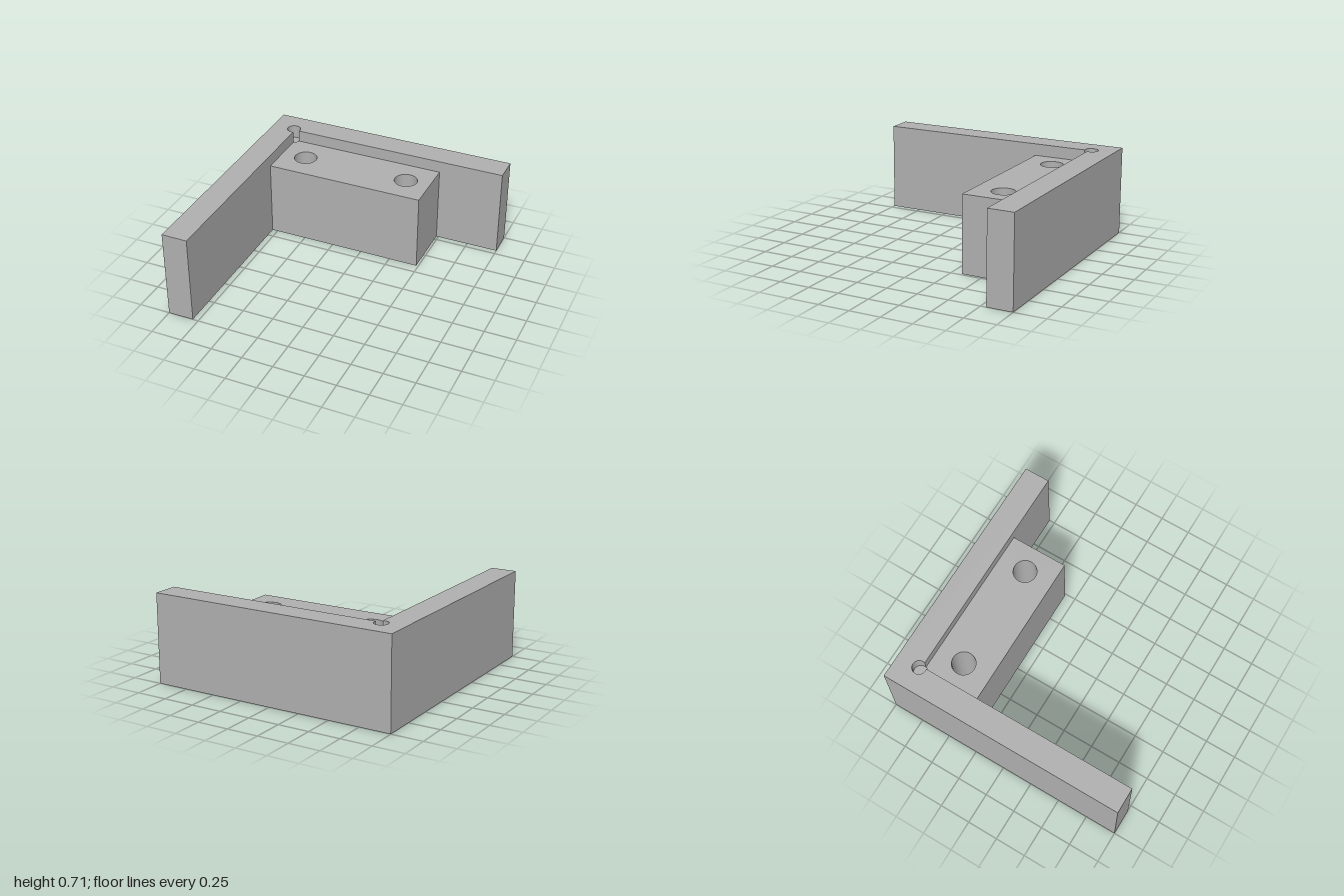
import * as THREE from 'three';
import { toCreasedNormals } from 'three/addons/utils/BufferGeometryUtils.js';

const WALL = 0.795;                    // inner face of both walls
const FLOOR = 0.6, BLOCK_TOP = 0.615, WALL_TOP = 0.71;
const BLOCK_X = 0.483, BLOCK_Z = 0.335;
const HOLES = [[-0.591, 0.57], [0.283, 0.57]];
const HOLE_R = 0.092, SINK_R = 0.138, SINK_DEPTH = 0.046;
const RELIEF = 0.812, RELIEF_R = 0.054; // corner relief bore

// Plans are drawn in x and -z, then stood up along y.
function raise(shape, y0, y1, steps = 1) {
  const g = new THREE.ExtrudeGeometry(shape, { depth: y1 - y0, steps, bevelEnabled: false, curveSegments: 32 });
  return g.rotateX(-Math.PI / 2).translate(0, y0, 0);
}

function plan(points) {
  return new THREE.Shape(points.map(([x, y]) => new THREE.Vector2(x, y)));
}

function addScrewHoles(shape) {
  for (const [x, y] of HOLES) {
    shape.holes.push(new THREE.Path().absarc(x, y, HOLE_R, 0, Math.PI * 2, true));
  }
  return shape;
}

// Widens the lower rim of each screw hole into a countersink.
function countersink(g) {
  const p = g.attributes.position;
  for (let i = 0; i < p.count; i++) {
    const x = p.getX(i), y = p.getY(i), z = p.getZ(i);
    if (Math.abs(y - FLOOR / 2) < 0.01) p.setY(i, SINK_DEPTH);
    if (y > 0.01) continue;
    for (const [hx, hy] of HOLES) {
      const dx = x - hx, dz = z + hy;
      if (Math.hypot(dx, dz) < HOLE_R + 0.005) {
        p.setX(i, hx + dx * SINK_R / HOLE_R);
        p.setZ(i, -hy + dz * SINK_R / HOLE_R);
      }
    }
  }
  return g;
}

export function createModel() {
  const group = new THREE.Group();
  group.name = 'cornerBracket';
  const grey = new THREE.MeshStandardMaterial({ color: 0xb0b0b0 });
  grey.name = 'grey';
  const add = (name, g) => {
    const mesh = new THREE.Mesh(toCreasedNormals(g, 0.5), grey);
    mesh.name = name;
    group.add(mesh);
  };

  // Where the relief bore meets the inner wall faces
  const off = RELIEF - WALL;
  const reach = Math.sqrt(RELIEF_R ** 2 - off ** 2);
  const cut = RELIEF - reach;
  const a1 = Math.atan2(-reach, off), a2 = Math.atan2(-off, reach);

  // Lower body: both walls and the screw block in one outline
  const body = addScrewHoles(plan([
    [-1, -1], [-WALL, -1], [-WALL, BLOCK_Z], [BLOCK_X, BLOCK_Z],
    [BLOCK_X, WALL], [1, WALL], [1, 1], [-1, 1],
  ]));
  add('lowerBody', countersink(raise(body, 0, FLOOR, 2)));

  // Top of the screw block, notched at the inner corner
  const block = plan([[-WALL, BLOCK_Z], [BLOCK_X, BLOCK_Z], [BLOCK_X, WALL], [-cut, WALL]]);
  block.absarc(-RELIEF, RELIEF, RELIEF_R, a2, a1, true);
  add('screwBlockTop', raise(addScrewHoles(block), FLOOR, BLOCK_TOP));

  // Upper walls with the rounded corner relief
  const walls = plan([[-1, -1], [-WALL, -1], [-WALL, cut]]);
  walls.absarc(-RELIEF, RELIEF, RELIEF_R, a1, a2, true);
  walls.lineTo(1, WALL);
  walls.lineTo(1, 1);
  walls.lineTo(-1, 1);
  add('upperWalls', raise(walls, FLOOR, WALL_TOP));

  return group;
}
